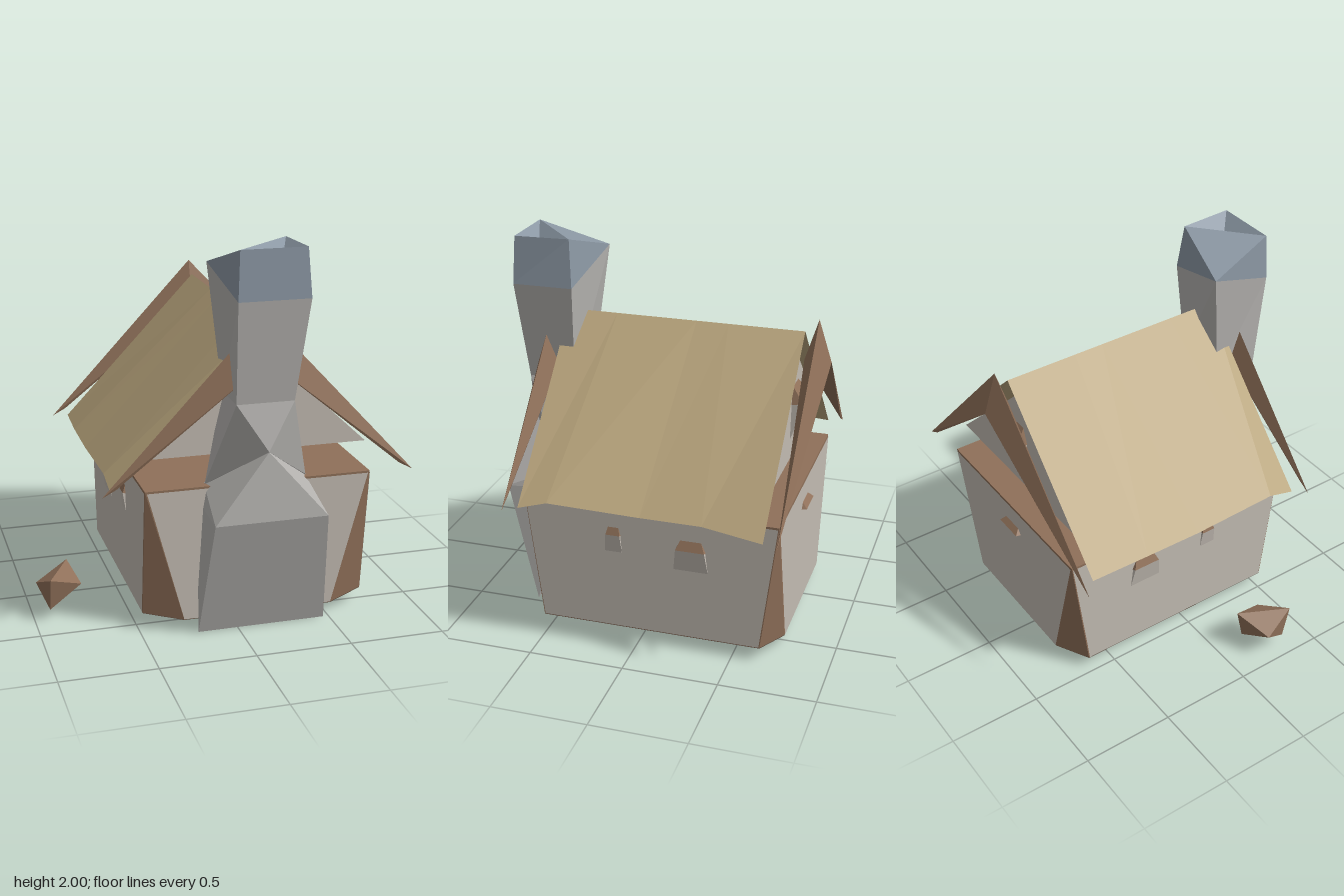
import * as THREE from 'three';
import { ConvexGeometry } from 'three/addons/geometries/ConvexGeometry.js';

const material = (color) => new THREE.MeshStandardMaterial({ color, flatShading: true, side: THREE.DoubleSide });
const stone = material(0xc2bbb2);
const shaftStone = material(0xb4b2af);
const slate = material(0x8b97a3);
const wood = material(0x8f7059);
const darkWood = material(0x4a3a30);
const thatch = material(0xb8a47c);

const CX = 0.13, CZ = -0.06; // centre of the house

function add(parent, name, geometry, mat) {
  const mesh = new THREE.Mesh(geometry, mat);
  mesh.name = name;
  parent.add(mesh);
  return mesh;
}

// Solid wrapped around a few corner points
const hull = (points) => new ConvexGeometry(points.map((p) => new THREE.Vector3(...p)));

// Open surface from a list of triangles, each with three corner points
function surface(triangles) {
  const g = new THREE.BufferGeometry();
  g.setAttribute('position', new THREE.Float32BufferAttribute(triangles.flat(2), 3));
  g.computeVertexNormals();
  return g;
}
const quad = (a, b, c, d) => [[a, b, c], [a, c, d]];

// Small window leaning out of a wall: stone panel under a wooden hood
function addWindow(parent, name, w, h, depth, position, turn, panel = true) {
  const group = new THREE.Group();
  group.name = name;
  group.position.set(...position);
  group.rotation.y = turn;
  const pair = (x, y, z) => [[-x * w, y * h, z], [x * w, y * h, z]];
  add(group, 'windowHood', hull([...pair(0.3, 1, 0), ...pair(0.42, 0.7, depth), ...pair(0.45, 0.66, -0.01)]), wood);
  if (panel) {
    add(group, 'windowPanel', hull([...pair(0.42, 0.7, depth), ...pair(0.5, 0, 0.002), ...pair(0.5, 0, -0.01), ...pair(0.42, 0.7, -0.01)]), stone);
  }
  parent.add(group);
}

function addBody(parent) {
  const body = new THREE.Group();
  body.name = 'houseBody';
  body.position.set(CX, 0, CZ);
  // Timber frame: square top, corners cut away towards the floor
  const frame = [];
  for (const sx of [-1, 1]) for (const sz of [-1, 1]) {
    frame.push([sx * 0.6, 0.77, sz * 0.67], [sx * 0.6, 0.075, sz * 0.585], [sx * 0.4, 0.05, sz * 0.67]);
  }
  add(body, 'timberFrame', hull(frame), wood);
  // Stone wall panels
  const e = 0.003;
  for (const s of [-1, 1]) {
    const z = s * (0.67 + e), x = s * (0.6 + e);
    add(body, s > 0 ? 'frontWall' : 'backWall', surface(quad(
      [-s * 0.4, 0.052, z], [s * 0.4, 0.052, z], [s * 0.59, 0.76, z], [-s * 0.59, 0.76, z])), stone);
    add(body, s > 0 ? 'leftWall' : 'rightWall', surface(quad(
      [x, 0.078, s * 0.58], [x, 0.078, -s * 0.58], [x, 0.76, -s * 0.665], [x, 0.76, s * 0.665])), stone);
  }
  // Dark underside
  const rim = [];
  for (const [sx, sz] of [[1, 1], [1, -1], [-1, -1], [-1, 1]]) {
    const a = [sx * 0.6, 0.072, sz * 0.585], b = [sx * 0.4, 0.047, sz * 0.67];
    rim.push(...(sx * sz > 0 ? [b, a] : [a, b]));
  }
  add(body, 'floor', surface(rim.map((p, i) => [[0, 0.047, 0], rim[(i + 1) % rim.length], p])), darkWood);
  parent.add(body);

  for (const s of [-1, 1]) {
    const x = CX + s * 0.602;
    addWindow(parent, 'wideSideWindow', 0.18, 0.17, 0.022, [x, 0.46, -0.28], s * Math.PI / 2);
    addWindow(parent, 'narrowSideWindow', 0.09, 0.14, 0.016, [x, 0.51, 0.13], s * Math.PI / 2);
  }
  addWindow(parent, 'backWindow', 0.2, 0.1, 0.03, [CX, 0.56, -0.73], Math.PI, false);
}

function addRoof(parent) {
  const roof = new THREE.Group();
  roof.name = 'roof';
  // Rows from front to back: z, ridge z, left eave x, right eave x, eave y
  const rows = [
    [0.57, 0.57, 0.915, -0.64, 0.78],
    [0.42, 0.3, 0.9, -0.64, 0.82],
    [-0.06, -0.13, 0.88, -0.64, 0.8],
    [-0.38, -0.3, 0.89, -0.64, 0.805],
    [-0.7, -0.7, 0.95, -0.62, 0.79],
  ];
  const triangles = [];
  for (let i = 0; i < rows.length - 1; i++) {
    const [a, b] = [rows[i], rows[i + 1]];
    const ridgeA = [CX, 1.58, a[1]], ridgeB = [CX, 1.58, b[1]];
    triangles.push(...quad([a[2], a[4], a[0]], [b[2], b[4], b[0]], ridgeB, ridgeA));
    triangles.push(...quad([b[3], b[4], b[0]], [a[3], a[4], a[0]], ridgeA, ridgeB));
  }
  add(roof, 'roofSheet', surface(triangles), thatch);

  // Gable walls and the pointed boards in front of them
  for (const [side, z, boardZ] of [['front', 0.53, 0.64], ['back', -0.66, -0.77]]) {
    const corners = [[CX - 0.6, 0.91, z], [CX + 0.6, 0.91, z], [CX, 1.47, z]];
    add(roof, side + 'Gable', surface([side === 'front' ? corners : corners.reverse()]), stone);
    for (const s of [-1, 1]) {
      add(roof, side + 'GableBoard', hull([
        [CX, 1.65, boardZ], [CX, 1.43, boardZ + 0.07], [CX, 1.43, boardZ - 0.07],
        [CX + s * 0.825, 0.77, boardZ], [CX + s * 0.75, 0.81, boardZ],
      ]), wood);
    }
  }
  addWindow(roof, 'gableWindow', 0.2, 0.27, 0.06, [CX, 1.03, -0.66], Math.PI);
  parent.add(roof);
}

function addChimney(parent) {
  const chimney = new THREE.Group();
  chimney.name = 'chimney';
  const waist = [[-0.04, 1.23, 0.75], [0.26, 1.23, 0.75], [0.26, 1.23, 0.5], [-0.04, 1.23, 0.5]];
  const neck = [[-0.05, 1.75, 0.8], [0.32, 1.75, 0.8], [0.32, 1.75, 0.48], [-0.1, 1.88, 0.42]];
  const peak = [0.115, 0.99, 0.8];
  // Hearth block, wedge-shaped below and pointed above
  add(chimney, 'hearth', hull([
    [-0.21, 0, 0.67], [0.47, 0, 0.67], [-0.17, 0.64, 0.84], [0.42, 0.64, 0.84],
    [-0.17, 0.66, 0.5], [0.42, 0.66, 0.5], [-0.15, 0.77, 0.55], [0.39, 0.77, 0.55], peak,
  ]), shaftStone);
  add(chimney, 'lowerShaft', hull([
    ...waist, peak, [-0.15, 0.77, 0.57], [0.39, 0.77, 0.57], [-0.1, 0.77, 0.46], [0.35, 0.77, 0.46],
  ]), shaftStone);
  add(chimney, 'upperShaft', surface(waist.flatMap((p, i) => {
    const j = (i + 1) % 4;
    return quad(p, waist[j], neck[j], neck[i]);
  })), shaftStone);
  // Cap with one corner folded down and a hollow top
  const [nA, nB, nC, nD] = neck;
  const tA = [-0.04, 2, 0.79], tB = [0.3, 2, 0.79], tC = [0.285, 2, 0.5], pit = [0.2, 1.92, 0.7];
  add(chimney, 'chimneyCap', surface([
    ...quad(nA, nB, tB, tA), ...quad(nB, nC, tC, tB), [nC, nD, tC], [nD, nA, tA], [nD, tA, tC],
    [tA, tB, pit], [tB, tC, pit], [tC, tA, pit],
  ]), slate);
  parent.add(chimney);
}

export function createModel() {
  const model = new THREE.Group();
  model.name = 'cottage';
  addBody(model);
  addRoof(model);
  addChimney(model);
  // Loose wooden block beside the house
  add(model, 'looseBlock', hull([
    [-0.97, 0.16, 0.19], [-0.745, 0.17, 0.29], [-0.92, 0.24, 0.37],
    [-0.79, 0.24, 0.11], [-0.92, 0.06, 0.33], [-0.79, 0.06, 0.15],
  ]), wood);
  return model;
}
